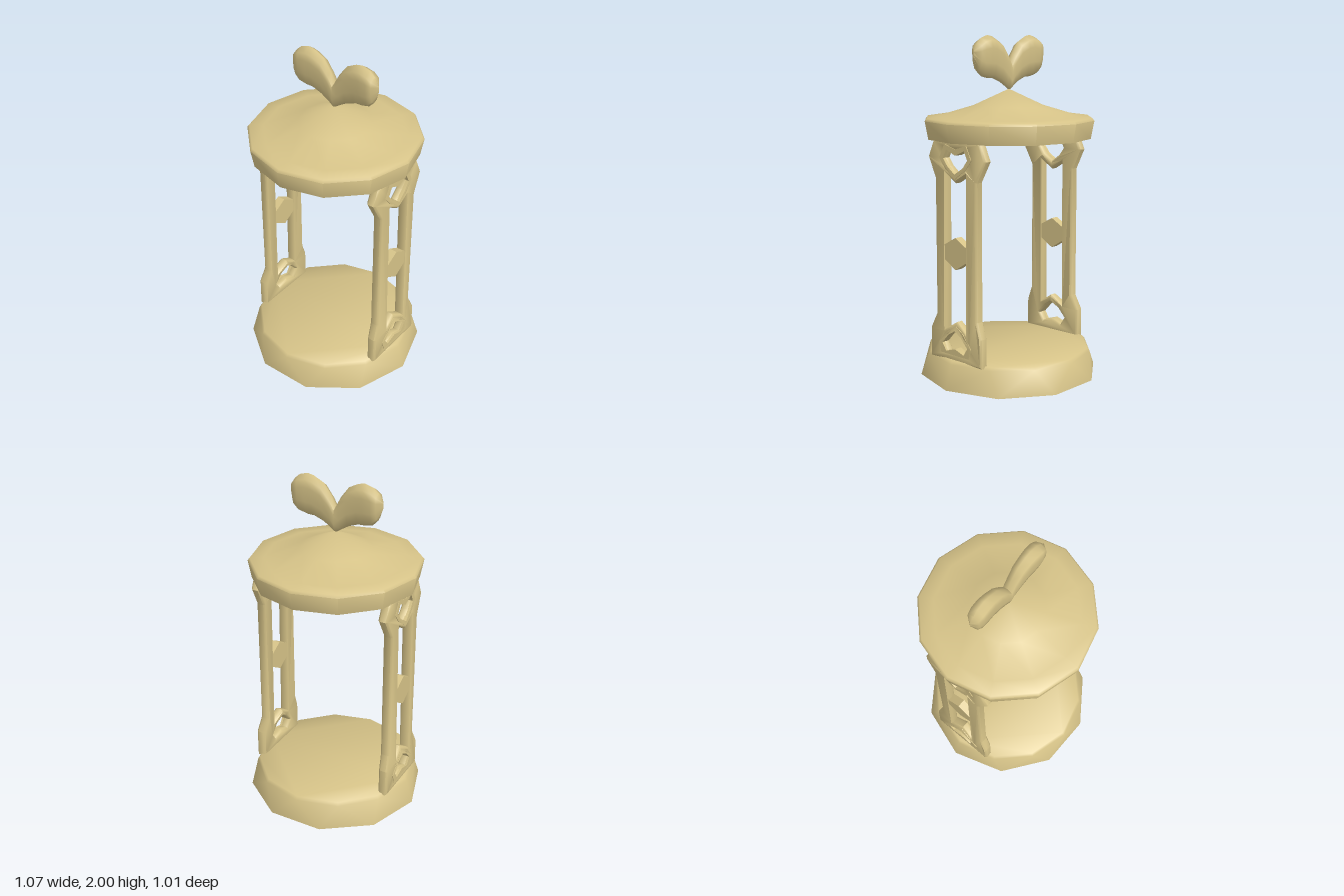
import * as THREE from 'three';
import { toCreasedNormals } from 'three/addons/utils/BufferGeometryUtils.js';
import { ConvexGeometry } from 'three/addons/geometries/ConvexGeometry.js';

const sand = new THREE.MeshStandardMaterial({ color: 0xd6c388 });
sand.name = 'sand';

function part(name, geometry, crease) {
  const mesh = new THREE.Mesh(toCreasedNormals(geometry, crease), sand);
  mesh.name = name;
  return mesh;
}

// Regular polygon of points at one height, first corner on +x
function ring(sides, radius, y) {
  return Array.from({ length: sides }, (_, i) => {
    const a = (i / sides) * Math.PI * 2;
    return new THREE.Vector3(Math.cos(a) * radius, y, Math.sin(a) * radius);
  });
}

// Full counter-clockwise outline from its right half, listed from top to bottom
function mirrored(half) {
  const left = half.filter(([x]) => x > 0).reverse().map(([x, y]) => [-x, y]);
  return [...half, ...left].reverse().map(([x, y]) => new THREE.Vector2(x, y));
}

// Upright plate in the z-y plane between two x positions, following the posts' slight bend
function plate(name, outline, holes, x0, x1, bevel) {
  const shape = new THREE.Shape(mirrored(outline));
  shape.holes = holes.map((h) => new THREE.Path(mirrored(h)));
  const geo = new THREE.ExtrudeGeometry(shape, {
    depth: x1 - x0 - 2 * bevel, bevelEnabled: bevel > 0, bevelSegments: 1,
    bevelSize: bevel, bevelThickness: bevel, bevelOffset: -bevel,
  });
  geo.rotateY(Math.PI / 2).translate(x0 + bevel, 0, 0);
  const p = geo.attributes.position;
  for (let i = 0; i < p.count; i++) {
    const y = p.getY(i);
    const shift = y < 0.345 ? 0.01 : y > 1.25 ? -0.006 : 0;
    p.setX(i, p.getX(i) + shift);
  }
  return part(name, geo, 0.85);
}

// Heart-shaped pair of leaves, lofted along x from [x, bottom, top, half thickness]
function leafGeometry() {
  const half = [
    [0, 1.685, 1.838, 0.034], [0.03, 1.705, 1.895, 0.034], [0.08, 1.735, 1.962, 0.038],
    [0.14, 1.757, 1.992, 0.041], [0.18, 1.758, 2.0, 0.044], [0.23, 1.77, 1.985, 0.045],
    [0.262, 1.803, 1.957, 0.04], [0.29, 1.875, 1.915, 0],
  ];
  const stations = [...half.slice(1).reverse().map(([x, ...r]) => [-x, ...r]), ...half];
  const side = [[1, 0], [0.89, 0.9], [0.7, 1], [0.35, 0.9], [0.08, 0.6], [0, 0]];
  const section = [...side, ...side.slice(1, -1).reverse().map(([h, z]) => [h, -z])];
  const n = section.length;
  const pos = [], idx = [];
  stations.forEach(([x, lo, hi, t], i) => {
    section.forEach(([h, z], j) => {
      pos.push(x, lo + (hi - lo) * h, z * t);
      if (i === stations.length - 1) return;
      const a = i * n + j, b = i * n + (j + 1) % n;
      idx.push(a, b, b + n, a, b + n, a + n);
    });
  });
  const geo = new THREE.BufferGeometry();
  geo.setAttribute('position', new THREE.Float32BufferAttribute(pos, 3));
  geo.setIndex(idx);
  return geo;
}

// Pair of posts joined by a heart window above and an inverted one below
function sideFrame(name) {
  const group = new THREE.Group();
  group.name = name;
  const upperHole = [[0, 1.34], [0.07, 1.37], [0.095, 1.32], [0.06, 1.275], [0, 1.235]];
  const lowerHole = [[0, 0.335], [0.05, 0.305], [0.1, 0.25], [0.07, 0.205], [0, 0.228]];
  const opening = [[0, 1.185], [0.08, 1.235], [0.08, 0.335], [0, 0.385]];
  const outline = [
    [0.18, 1.42], [0.225, 1.32], [0.163, 1.2], [0.163, 0.41], [0.203, 0.32], [0.205, 0.15],
  ];
  group.add(plate('posts', outline, [upperHole, opening, lowerHole], 0.388, 0.446, 0.011));

  // Slightly raised rims around the windows
  const upperRim = [[0, 1.375], [0.085, 1.4], [0.125, 1.32], [0.08, 1.262], [0, 1.21]];
  const lowerRim = [[0, 0.36], [0.065, 0.328], [0.128, 0.25], [0.11, 0.19], [0, 0.19]];
  group.add(plate('upperHeartRim', upperRim, [upperHole], 0.43, 0.45, 0));
  group.add(plate('lowerHeartRim', lowerRim, [lowerHole], 0.43, 0.449, 0));

  // Six-sided ornament between the posts
  const gem = [[0, 0.875], [0.09, 0.825], [0.09, 0.745], [0, 0.69]];
  group.add(plate('middleDiamond', gem, [], 0.397, 0.447, 0));
  return group;
}

export function createModel() {
  const model = new THREE.Group();
  model.name = 'lantern';

  // Ten-sided foot tapering to a twelve-sided top
  model.add(part('base', new ConvexGeometry([
    ...ring(10, 0.533, 0), ...ring(12, 0.492, 0.145), ...ring(12, 0.478, 0.162),
  ]), 0.95));

  // Roof with a flared rim and a shallow peak
  const profile = [
    [0, 1.41], [0.482, 1.41], [0.502, 1.515], [0.49, 1.53], [0.41, 1.535], [0.21, 1.595], [0, 1.692],
  ].map(([r, y]) => new THREE.Vector2(r, y));
  model.add(part('roof', new THREE.LatheGeometry(profile, 12), 0.95));

  model.add(part('heartLeaves', leafGeometry(), 1.25));

  const left = sideFrame('leftFrame');
  const right = sideFrame('rightFrame');
  right.rotation.y = Math.PI;
  model.add(left, right);
  return model;
}
